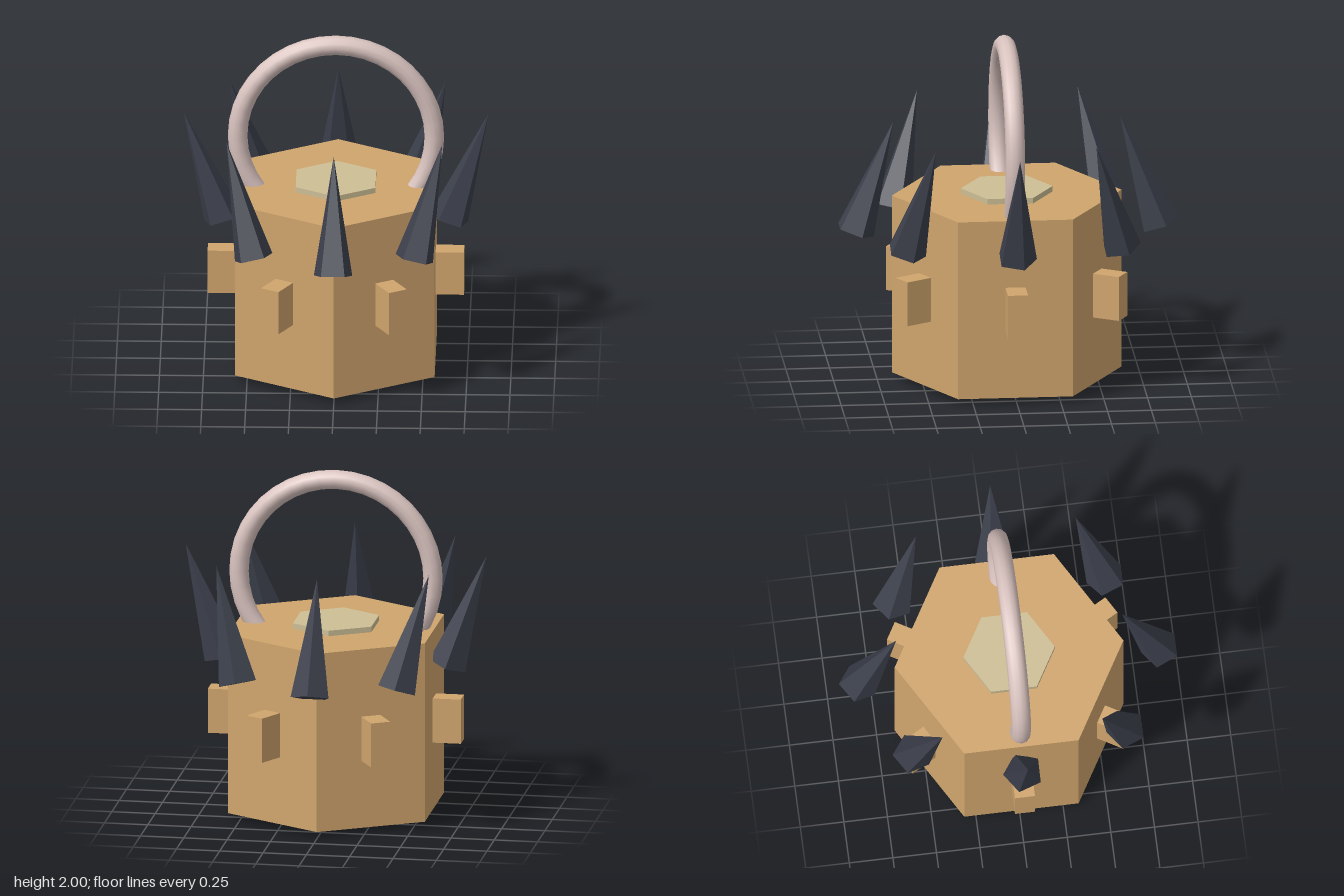
import * as THREE from 'three';

const flat = (geometry) => {
  const g = geometry.toNonIndexed();
  g.computeVertexNormals();
  return g;
};

export function createModel() {
  const material = (name, color) => {
    const m = new THREE.MeshStandardMaterial({ color });
    m.name = name;
    return m;
  };
  const tan = material('tan', 0xd0a56d);
  const cream = material('cream', 0xcdbe95);
  const pink = material('pale pink', 0xd9c3bf);
  const slate = material('dark slate', 0x3c404c);

  const model = new THREE.Group();
  model.name = 'spikedLantern';
  const add = (name, geometry, mat, x = 0, y = 0, z = 0) => {
    const mesh = new THREE.Mesh(geometry, mat);
    mesh.name = name;
    mesh.position.set(x, y, z + 0.01);
    model.add(mesh);
    return mesh;
  };

  // Hexagonal body with a corner facing front, and a thin cap at each end
  add('body', flat(new THREE.CylinderGeometry(0.656, 0.656, 1.05, 6)), tan, 0, 0.565);
  const cap = flat(new THREE.CylinderGeometry(0.262, 0.262, 0.07, 6));
  add('topCap', cap, cream, 0, 1.087);
  add('bottomCap', cap, cream, 0, 0.035);

  // One block in the middle of each side face
  const block = new THREE.BoxGeometry(0.115, 0.26, 0.25);
  for (let i = 0; i < 6; i++) {
    const a = Math.PI / 6 + (i * Math.PI) / 3;
    add('sideBlock', block, tan, 0.605 * Math.sin(a), 0.565, 0.605 * Math.cos(a)).rotation.y = a;
  }

  // Ring handle, its lower part sunk into the body
  add('handle', new THREE.TorusGeometry(0.56, 0.056, 12, 40), pink, 0, 1.385);

  // Eight five-sided spikes: the side ones lean out, the front and back ones lean in
  const spike = flat(new THREE.ConeGeometry(0.115, 0.68, 5, 1, false, Math.PI));
  const up = new THREE.Vector3(0, 1, 0);
  for (let i = 0; i < 8; i++) {
    const s = Math.sin((i * Math.PI) / 4);
    const c = Math.cos((i * Math.PI) / 4);
    const axis = new THREE.Vector3(0.11 * s, 0.322, -0.11 * c).normalize();
    add('spike', spike, slate, 0.758 * s, 1.207, 0.758 * c).quaternion.setFromUnitVectors(up, axis);
  }
  return model;
}
